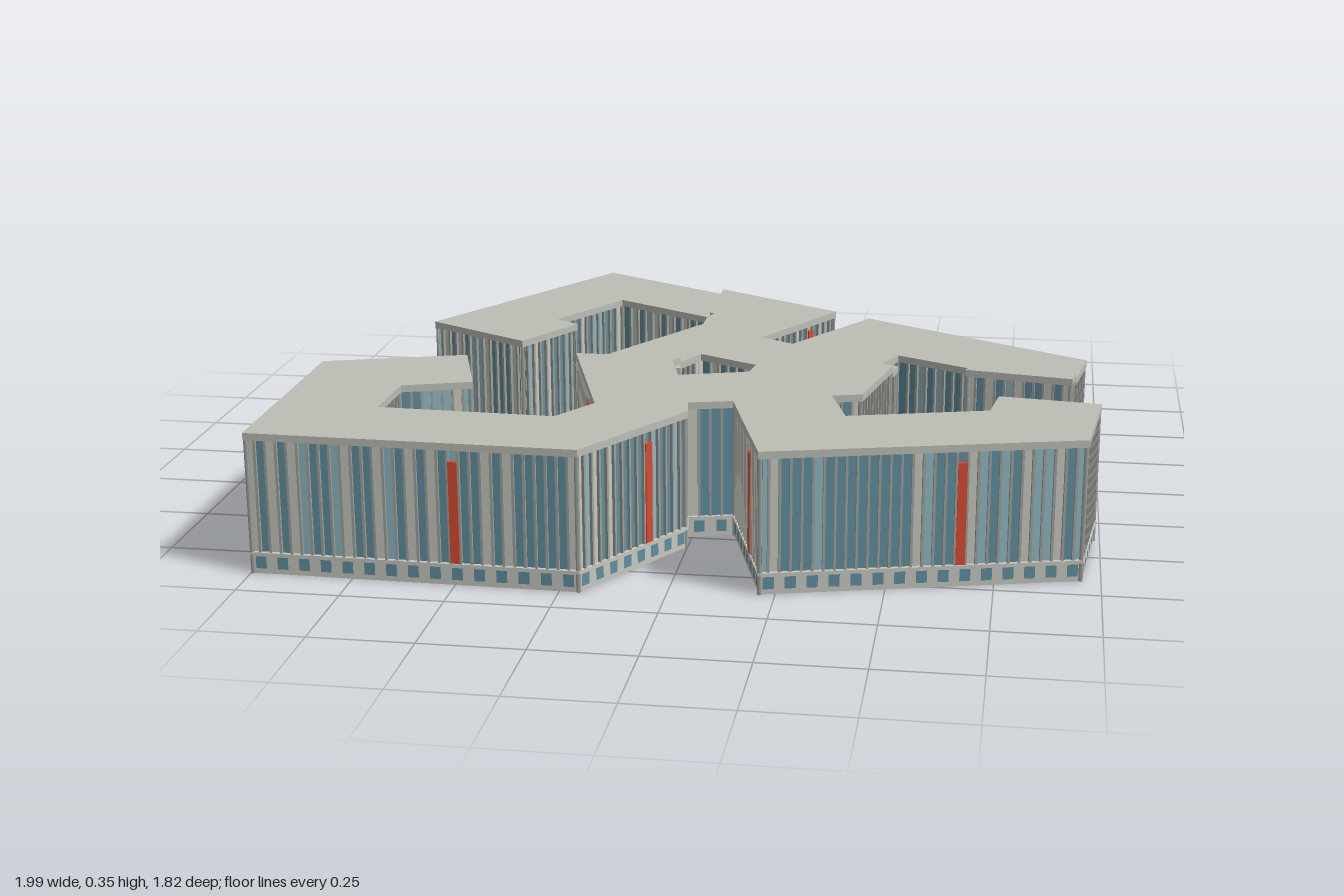
import * as THREE from 'three';
import { mergeGeometries } from 'three/addons/utils/BufferGeometryUtils.js';

// Building outline as [x, z], clockwise seen from above
const P = [
  [-1, .27], [-.645, .157], [-.57, .4], [-.74, .457], [-.745, .643], [-.307, .657], [-.232, .537],
  [-.367, .1], [-.09, -.366], [-.077, -.414], [-.09, -.422], [-.37, -.585], [-.513, -.345],
  [-.446, -.302], [-.558, -.104], [-.846, -.27], [-.46, -.912], [-.09, -.694], [.262, -.483],
  [.088, -.179], [.179, -.125], [.36, -.42], [.958, -.072], [.93, .1], [.92, .163], [.65, .115],
  [.652, .1], [.66, .05], [.467, -.05], [.43, .03], [.473, .056], [.464, .1], [.408, .371],
  [.334, .392], [.382, .555], [.723, .462], [.74, .339], [.99, .371], [.958, .665], [.21, .86],
  [.099, .472], [-.008, .5], [.003, .569], [-.2, .905], [-1, .89],
];
// Five-sided light court
const COURT = [[-.05, .01], [.12, .1], [.105, .21], [-.07, .264], [-.105, .136], [-.09, .1]];
const HIGH = .35, MID = .335, LOW = .32;   // roof levels
const SLAB = .018, BASE = .05, INSET = .01;

const edgeHeight = (i) => {
  if (i === 7 || (i >= 10 && i <= 16)) return LOW;
  if ((i >= 8 && i <= 9) || (i >= 17 && i <= 22) || (i >= 26 && i <= 30)) return MID;
  return HIGH;
};

const makeShape = (pts) => new THREE.Shape(pts.map(([x, z]) => new THREE.Vector2(x, -z)));

function slab(pts, top, thick) {
  const g = new THREE.ExtrudeGeometry(makeShape(pts), { depth: thick, bevelEnabled: false });
  return g.rotateX(-Math.PI / 2).translate(0, top - thick, 0);
}

function seeded(seed) {
  return () => (seed = (seed * 16807) % 2147483647) / 2147483647;
}

export function createModel() {
  const mat = (name, color, side = THREE.FrontSide) => {
    const m = new THREE.MeshStandardMaterial({ color, side });
    m.name = name;
    return m;
  };
  const mats = {
    concrete: mat('concrete', 0xbcbdb5),
    panel: mat('palePanel', 0xc6c7be, THREE.DoubleSide),
    glass: mat('blueGlass', 0x5f8ea0, THREE.DoubleSide),
    paleGlass: mat('paleBlueGlass', 0x8fb6c1, THREE.DoubleSide),
    fin: mat('greyFin', 0x9fa19a),
    red: mat('redStrip', 0xd8492f, THREE.DoubleSide),
  };
  const group = new THREE.Group();
  const add = (name, geo, material) => {
    const mesh = new THREE.Mesh(geo, material);
    mesh.name = name;
    group.add(mesh);
  };

  // Stepped flat roofs
  const at = (a, b) => P.slice(a, b + 1);
  const [c0, c1, c2, c3, c4, c5] = COURT;
  add('frontRoof', slab([...at(0, 7), c5, c4, c3, c2, c1, ...at(31, 44)], HIGH, SLAB), mats.concrete);
  add('sideWingTipRoof', slab(at(23, 26), HIGH, SLAB), mats.concrete);
  add('backLeftRoof', slab([...at(8, 10), ...at(17, 23), ...at(26, 31), c1, c0, c5], MID, SLAB), mats.concrete);
  add('backRightRoof', slab(at(10, 17), LOW, SLAB), mats.concrete);
  add('innerRoof', slab([P[7], P[8], c5], LOW, SLAB), mats.concrete);
  add('courtFloor', slab(COURT, .012, .008), mats.concrete);

  // Facades, gathered by colour
  const parts = { panel: [], glass: [], paleGlass: [], fin: [], red: [], base: [], baseWindow: [] };
  const random = seeded(71);

  function facade([ax, az], [bx, bz], top) {
    const dx = bx - ax, dz = bz - az, len = Math.hypot(dx, dz);
    const place = new THREE.Matrix4().makeRotationY(Math.atan2(dz, -dx));
    place.setPosition((ax + bx) / 2, 0, (az + bz) / 2);
    const put = (list, geo, x, y, z) => list.push(geo.translate(x, y, z).applyMatrix4(place));
    const box = (list, w, h, d, x, y, z) => put(list, new THREE.BoxGeometry(w, h, d), x, y, z);
    const plate = (list, w, h, x, y, z) => put(list, new THREE.PlaneGeometry(w, h), x, y, z);
    const wallTop = top - SLAB, wallH = wallTop - BASE, midY = (wallTop + BASE) / 2;

    // Plinth with a row of small windows, and the sill above it
    plate(parts.base, len, BASE, 0, BASE / 2, -INSET / 2);
    box(parts.base, len, .007, INSET, 0, BASE, -INSET / 2);
    const nb = Math.max(1, Math.round(len / .052));
    for (let i = 0; i < nb && len > .05; i++) {
      plate(parts.baseWindow, .026, .03, -len / 2 + (i + .5) * len / nb, .028, -INSET / 2 + .002);
    }

    // Tall bays between upright fins
    const n = Math.max(1, Math.round(len / .026)), w = len / n;
    const redBay = len > .35 ? Math.round(n * .6) : -1;
    let last = '';
    for (let i = 0; i < n; i++) {
      const x = -len / 2 + (i + .5) * w, r = random();
      let kind = r < .42 ? 'glass' : r < .66 ? 'paleGlass' : 'panel';
      if (kind === 'panel' && last === 'panel') kind = 'glass';
      last = kind;
      plate(parts[kind], w, wallH, x, midY, -INSET);
      if (i > 0) box(parts.fin, .006, wallH, INSET - .002, x - w / 2, midY, -INSET / 2 - .001);
      if (i === redBay) box(parts.red, .022, .25, .009, x, .18, -.004);
    }
  }

  P.forEach((p, i) => facade(p, P[(i + 1) % P.length], edgeHeight(i)));
  const ring = [...COURT].reverse();
  ring.forEach((p, i) => facade(p, ring[(i + 1) % ring.length], MID));

  // Slim posts closing the corners
  P.forEach(([x, z], i) => {
    const a = P[(i + P.length - 1) % P.length], b = P[(i + 1) % P.length];
    const ux = x - a[0], uz = z - a[1], vx = b[0] - x, vz = b[1] - z;
    const lu = Math.hypot(ux, uz), lv = Math.hypot(vx, vz);
    const nx = uz / lu + vz / lv, nz = -ux / lu - vx / lv, nl = Math.hypot(nx, nz) || 1;
    const h = edgeHeight(i) - SLAB;
    const post = new THREE.CylinderGeometry(.006, .006, h, 6);
    parts.fin.push(post.translate(x - nx / nl * .008, h / 2, z - nz / nl * .008));
  });

  add('facadePanels', mergeGeometries(parts.panel), mats.panel);
  add('facadeGlass', mergeGeometries(parts.glass), mats.glass);
  add('facadePaleGlass', mergeGeometries(parts.paleGlass), mats.paleGlass);
  add('facadeFins', mergeGeometries(parts.fin), mats.fin);
  add('redStrips', mergeGeometries(parts.red), mats.red);
  add('plinth', mergeGeometries(parts.base), mats.panel);
  add('plinthWindows', mergeGeometries(parts.baseWindow), mats.glass);

  // Entrance steps: a stair profile drawn outwards from the back wall
  const steps = 8, run = .146, rise = .04, width = .341;
  const profile = new THREE.Shape();
  profile.moveTo(0, 0);
  for (let i = 0; i < steps; i++) {
    const y = rise * (1 - i / steps);
    profile.lineTo(i * run / steps, y);
    profile.lineTo((i + 1) * run / steps, y);
  }
  profile.lineTo(run, 0);
  const stairs = new THREE.ExtrudeGeometry(profile, { depth: width, bevelEnabled: false });
  const out = new THREE.Vector3(.515, 0, -.857), up = new THREE.Vector3(0, 1, 0);
  const along = new THREE.Vector3().crossVectors(out, up);
  stairs.applyMatrix4(new THREE.Matrix4().makeBasis(out, up, along).setPosition(-.245, 0, -.787));
  add('entranceSteps', stairs, mats.concrete);

  return group;
}
